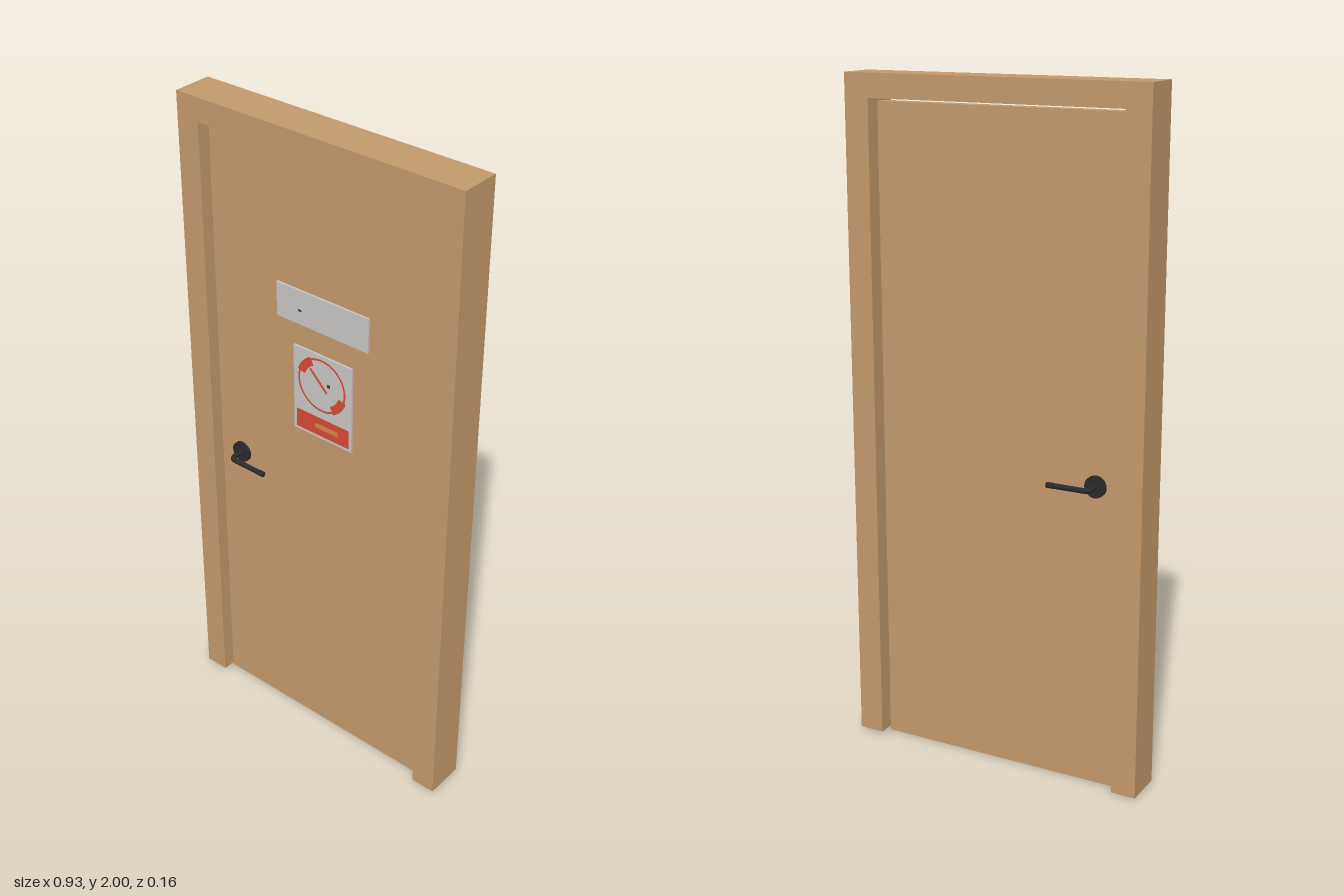
import * as THREE from 'three';

const material = (name, color) => {
  const m = new THREE.MeshStandardMaterial({ color });
  m.name = name;
  return m;
};

export function createModel() {
  const wood = material('wood', 0xc4996c);
  const black = material('blackMetal', 0x2b2a2a);
  const white = material('signWhite', 0xcac6c6);
  const red = material('signRed', 0xd84a35);
  const orange = material('signOrange', 0xd08a4a);
  const dark = material('signDark', 0x403c3c);

  const model = new THREE.Group();
  model.name = 'door';
  const add = (parent, name, geometry, mat, x = 0, y = 0, z = 0) => {
    const mesh = new THREE.Mesh(geometry, mat);
    mesh.name = name;
    mesh.position.set(x, y, z);
    parent.add(mesh);
    return mesh;
  };
  // Box given by its minimum and maximum corners
  const box = (parent, name, mat, x0, x1, y0, y1, z0, z1) =>
    add(parent, name, new THREE.BoxGeometry(x1 - x0, y1 - y0, z1 - z0), mat,
      (x0 + x1) / 2, (y0 + y1) / 2, (z0 + z1) / 2);

  // Frame: two jambs and a head in one piece
  const outline = new THREE.Shape([
    [-0.465, 0.005], [-0.391, 0.005], [-0.391, 1.931], [0.387, 1.931],
    [0.387, 0.009], [0.463, 0.009], [0.463, 2], [-0.465, 2],
  ].map(([x, y]) => new THREE.Vector2(x, y)));
  add(model, 'frame', new THREE.ExtrudeGeometry(outline, { depth: 0.12, bevelEnabled: false }),
    wood, 0, 0, -0.065);

  // Door leaf, set back from both faces of the frame
  const front = 0.018, back = -0.024, mid = (front + back) / 2, half = (front - back) / 2;
  box(model, 'doorLeaf', wood, -0.389, 0.382, 0, 1.921, back, front);

  // Lever handles: rosette, bent lever and end grip
  const makeHandle = (name) => {
    const handle = new THREE.Group();
    handle.name = name;
    handle.position.set(-0.308, 0.903, mid);
    const reach = 0.073, bend = 0.018;
    const rosette = add(handle, 'rosette', new THREE.CylinderGeometry(0.032, 0.032, 0.01, 24),
      black, 0, 0, half + 0.005);
    rosette.rotation.x = Math.PI / 2;
    const path = new THREE.CurvePath();
    const v = (x, z) => new THREE.Vector3(x, 0, z);
    path.add(new THREE.LineCurve3(v(0, half), v(0, reach - bend)));
    path.add(new THREE.QuadraticBezierCurve3(v(0, reach - bend), v(0, reach), v(bend, reach)));
    path.add(new THREE.LineCurve3(v(bend, reach), v(0.11, reach)));
    add(handle, 'lever', new THREE.TubeGeometry(path, 40, 0.008, 12), black);
    const grip = add(handle, 'leverEnd', new THREE.CylinderGeometry(0.0085, 0.0085, 0.02, 12),
      black, 0.117, 0, reach);
    grip.rotation.z = Math.PI / 2;
    model.add(handle);
    return handle;
  };
  makeHandle('frontHandle');
  makeHandle('backHandle').rotation.x = Math.PI;

  // Name plate and warning sign
  const face = front + 0.006;
  box(model, 'namePlate', white, -0.156, 0.161, 1.428, 1.532, front, face);
  box(model, 'signPlate', white, -0.098, 0.108, 1.086, 1.357, front, face);
  box(model, 'nameMark', dark, -0.08, -0.068, 1.468, 1.474, face, face + 0.001);

  // Prohibition symbol: thin ring, two heavy arcs and a slash
  const cx = 0.003, cy = 1.262, layer = face + 0.001;
  const arc = (name, inner, outer, start, length) =>
    add(model, name, new THREE.RingGeometry(inner, outer, 48, 1, start, length), red, cx, cy, layer);
  arc('signRing', 0.078, 0.084, 0, Math.PI * 2);
  arc('signArcUpper', 0.062, 0.088, 2.05, 0.8);
  arc('signArcLower', 0.062, 0.088, 5.2, 0.8);
  const slash = box(model, 'signSlash', red, -0.042, 0.042, -0.0035, 0.0035, face, layer);
  slash.position.set(cx - 0.012, cy + 0.012, face + 0.0005);
  slash.rotation.z = -Math.PI / 4;
  box(model, 'signMark', dark, 0.022, 0.032, 1.265, 1.275, face, layer);

  // Caption band
  box(model, 'signBand', red, -0.088, 0.098, 1.095, 1.154, face, layer);
  box(model, 'signBandPatch', orange, -0.02, 0.06, 1.118, 1.132, layer, layer + 0.001);

  return model;
}
